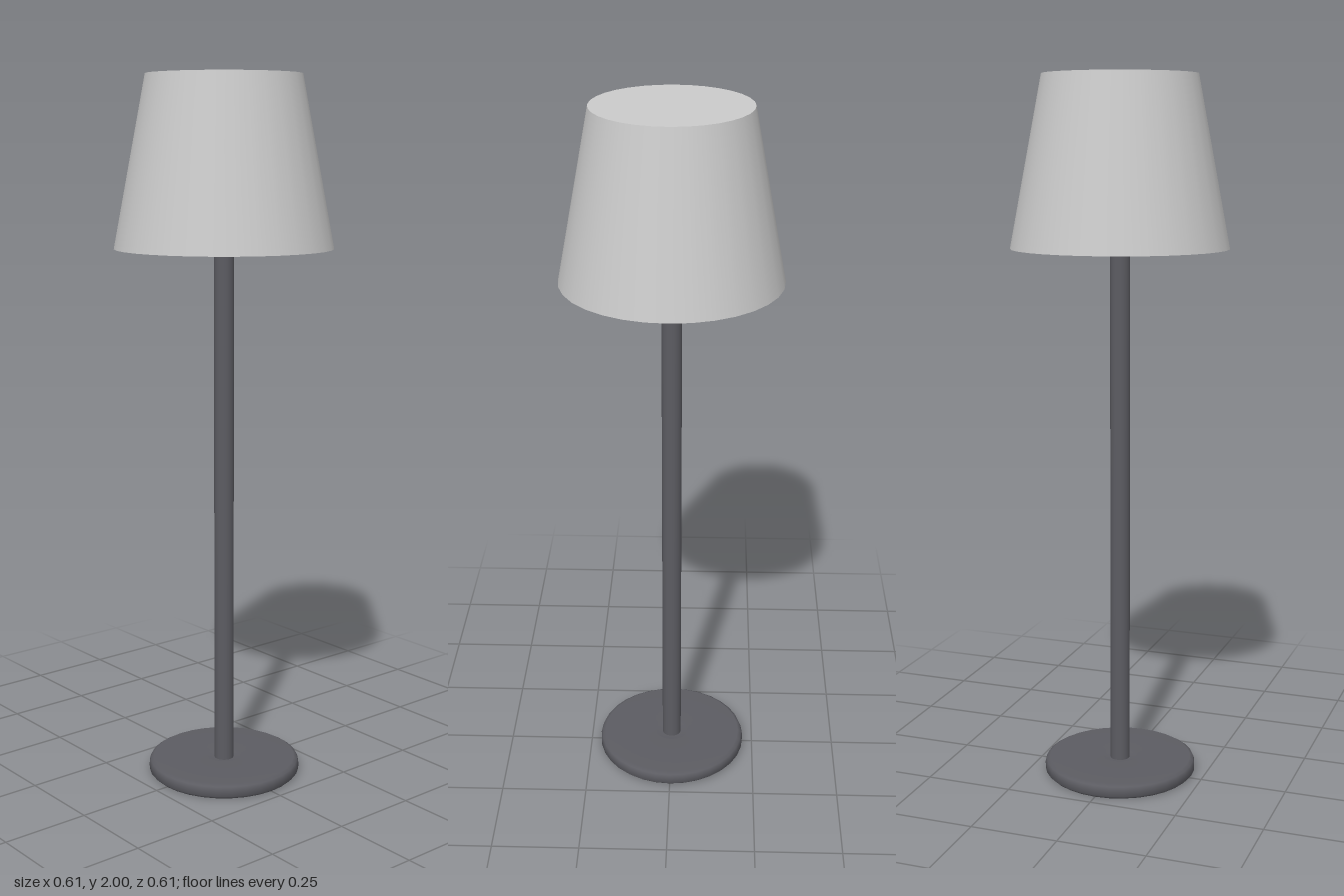
import * as THREE from 'three';

const SEGMENTS = 32;

function lathe(name, points, color) {
  const profile = points.map(([r, y]) => new THREE.Vector2(r, y));
  const material = new THREE.MeshStandardMaterial({ color });
  const mesh = new THREE.Mesh(new THREE.LatheGeometry(profile, SEGMENTS), material);
  mesh.name = name;
  return mesh;
}

export function createModel() {
  const model = new THREE.Group();
  model.name = 'floorLamp';
  const metal = 0x5c5c62;

  // Round foot with a softened rim and a shallow recess around the pole
  model.add(lathe('base', [
    [0, 0], [0.212, 0], [0.22, 0.008], [0.22, 0.026], [0.216, 0.036], [0.206, 0.042],
    [0.052, 0.042], [0.046, 0.036], [0, 0.036],
  ], metal));

  // Slim pole running up to the shade
  const pole = new THREE.Mesh(
    new THREE.CylinderGeometry(0.028, 0.028, 1.5, SEGMENTS, 1, true),
    new THREE.MeshStandardMaterial({ color: metal }),
  );
  pole.name = 'pole';
  pole.position.y = 0.035 + 0.75;
  model.add(pole);

  // Closed tapered shade
  const shade = new THREE.Mesh(
    new THREE.CylinderGeometry(0.214, 0.304, 0.47, SEGMENTS),
    new THREE.MeshStandardMaterial({ color: 0xcccccc }),
  );
  shade.name = 'shade';
  shade.position.y = 2 - 0.235;
  model.add(shade);

  return model;
}
